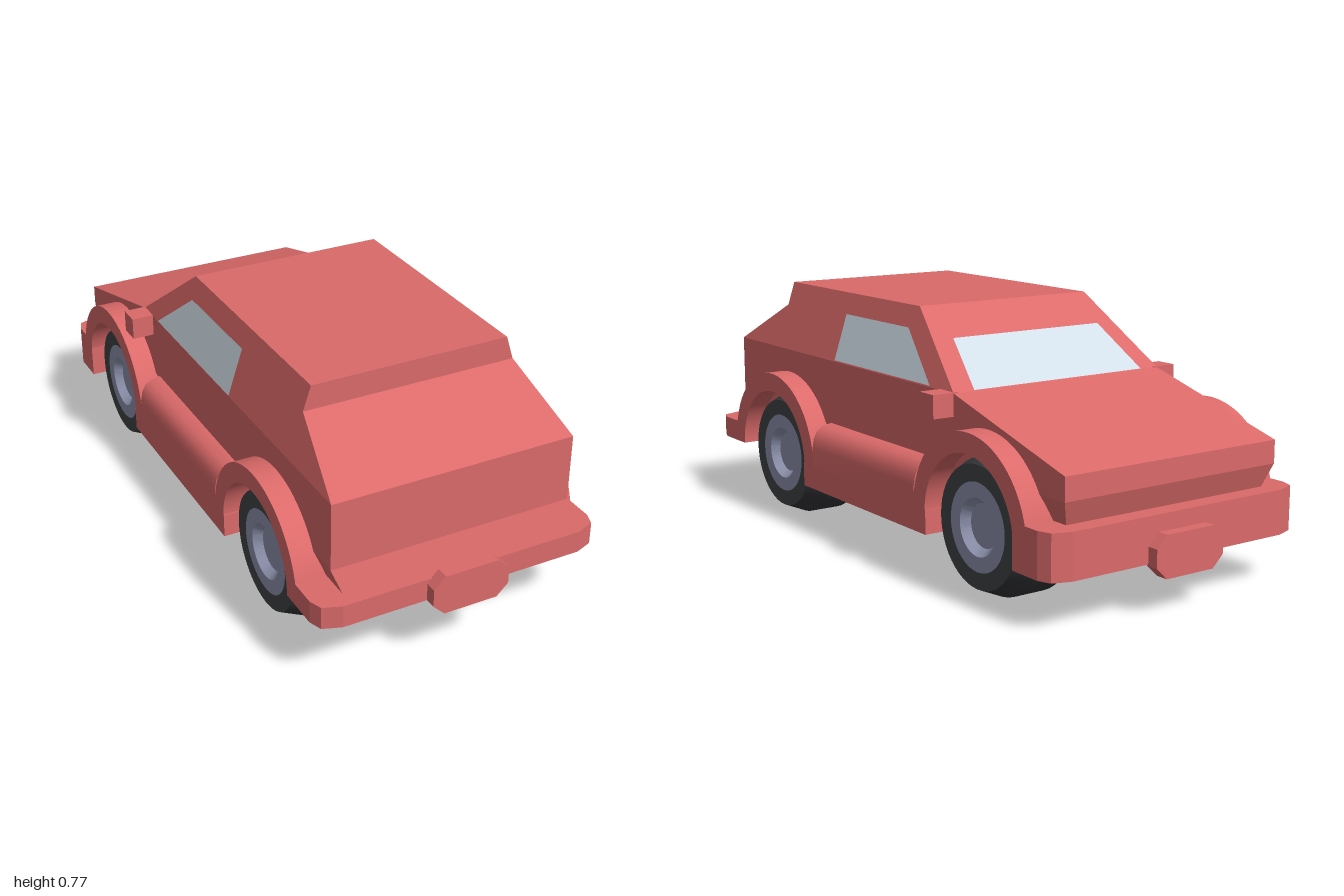
import * as THREE from 'three';
import { toCreasedNormals } from 'three/addons/utils/BufferGeometryUtils.js';

const mat = (name, color, side = THREE.FrontSide) => {
  const m = new THREE.MeshStandardMaterial({ color, side });
  m.name = name;
  return m;
};

const shapeOf = (pts) => new THREE.Shape(pts.map(([x, y]) => new THREE.Vector2(x, y)));
const extrude = (shape, depth, curveSegments = 24) =>
  new THREE.ExtrudeGeometry(shape, { depth, bevelEnabled: false, curveSegments });

// Mirror an outline of [x, y] points across x = 0
const symmetric = (pts) => [...pts, ...pts.map(([x, y]) => [-x, y]).reverse()];

// Half width of the shell at a given height
function halfWidth(y) {
  const steps = [[0.28, 0.36], [0.35, 0.385], [0.56, 0.385], [0.775, 0.315]];
  for (let i = 1; i < steps.length; i++) {
    const [y0, w0] = steps[i - 1], [y1, w1] = steps[i];
    if (y <= y1 + 1e-6) return w0 + ((w1 - w0) * (y - y0)) / (y1 - y0);
  }
  return 0.315;
}

// Side outline of [z, y] points spread across the width of the shell
function shellBand(pts) {
  const geo = extrude(shapeOf(pts.map(([z, y]) => [-z, y])), 1);
  geo.rotateY(Math.PI / 2);
  const p = geo.attributes.position;
  for (let i = 0; i < p.count; i++) p.setX(i, (p.getX(i) - 0.5) * 2 * halfWidth(p.getY(i)));
  return toCreasedNormals(geo, 0.05);
}

// Plan outline of [x, z] points raised from y0 to y1
function planBlock(pts, y0, y1) {
  const geo = extrude(shapeOf(pts.map(([x, z]) => [x, -z])), y1 - y0);
  geo.rotateX(-Math.PI / 2);
  geo.translate(0, y0, 0);
  return toCreasedNormals(geo, 0.3);
}

function quad(corners) {
  const geo = new THREE.BufferGeometry();
  geo.setAttribute('position', new THREE.Float32BufferAttribute(corners.flat(), 3));
  geo.setIndex([0, 1, 2, 0, 2, 3]);
  geo.computeVertexNormals();
  return geo;
}

export function createModel() {
  const car = new THREE.Group();
  car.name = 'car';
  const paint = mat('red paint', 0xdc6a6a);
  const glass = mat('pale glass', 0xd2dee8, THREE.DoubleSide);
  const tread = mat('dark tread', 0x35363a);
  const rubber = mat('grey sidewall', 0x434549);
  const metal = mat('rim metal', 0x9297b2);

  const add = (name, geo, material, parent = car) => {
    const mesh = new THREE.Mesh(geo, material);
    mesh.name = name;
    parent.add(mesh);
    return mesh;
  };

  // Shell in three bands: skirt, body and cabin
  add('lowerSkirt', shellBand([[0.915, 0.28], [0.893, 0.35], [-0.93, 0.35], [-0.906, 0.28]]), paint);
  add('body', shellBand([[0.893, 0.35], [0.893, 0.56], [-0.42, 0.56], [-0.93, 0.42], [-0.93, 0.35]]), paint);
  add('cabin', shellBand([[0.893, 0.56], [0.64, 0.7], [0.64, 0.775], [-0.14, 0.775], [-0.42, 0.56]]), paint);

  // Floor, narrow between the wheels and wide between the axles
  add('floor', planBlock(symmetric([[0.28, 0.765], [0.28, 0.345], [0.455, 0.345],
    [0.455, -0.375], [0.28, -0.375], [0.28, -0.9]]), 0.145, 0.22), paint);
  add('floorCore', planBlock(symmetric([[0.28, 0.765], [0.28, -0.9]]), 0.2, 0.3), paint);

  // Rounded side sills
  const sill = extrude(shapeOf(symmetric([[0.455, 0.147], [0.455, 0.28], [0.45, 0.31],
    [0.438, 0.333], [0.418, 0.348], [0.385, 0.355]])), 0.6);
  sill.translate(0, 0, -0.315);
  add('sills', toCreasedNormals(sill, 0.7), paint);

  // Bumpers with chamfered corners and octagonal plates
  const bumper = (end, inner) => symmetric([[0.455, end * inner], [0.455, end * 0.905],
    [0.44, end * 0.945], [0.385, end * 0.965]]);
  add('rearBumper', planBlock(bumper(1, 0.77), 0.21, 0.28), paint);
  add('frontBumper', planBlock(bumper(-1, 0.795), 0.145, 0.28), paint);
  const octagon = shapeOf(symmetric([[0.085, -0.0625], [0.122, -0.027], [0.122, 0.027], [0.085, 0.0625]]));
  for (const [name, y, z] of [['rearPlate', 0.238, 0.96], ['frontPlate', 0.168, -1]]) {
    add(name, extrude(octagon, 0.04), paint).position.set(0, y, z);
  }

  // Windows follow the slope of the cabin
  const lift = 0.004;
  const slopeY = (z) => 0.56 + ((z + 0.42) * 0.215) / 0.28;
  add('windshield', quad([[0.315, -0.42], [-0.315, -0.42], [-0.275, -0.255], [0.275, -0.255]]
    .map(([x, z]) => [x, slopeY(z) + lift * 0.8, z - lift * 0.6])), glass);
  for (const s of [1, -1]) {
    const corners = [[0.25, 0.565], [-0.3, 0.565], [-0.115, 0.71], [0.25, 0.71]]
      .map(([z, y]) => [s * (halfWidth(y) + lift), y, z]);
    add(s > 0 ? 'leftWindow' : 'rightWindow', quad(s > 0 ? corners : corners.reverse()), glass);

    // Door mirror
    add('mirror', new THREE.BoxGeometry(0.085, 0.07, 0.07), paint).position.set(s * 0.4125, 0.528, -0.385);
  }

  // Wheel profiles: radius against distance from the centre line
  const lathe = (pts) => toCreasedNormals(
    new THREE.LatheGeometry(pts.map(([r, h]) => new THREE.Vector2(r, h)), 48), 0.3);
  const treadGeo = lathe([[0, 0.18], [0.18, 0.18], [0.21, 0.245], [0.21, 0.35], [0.18, 0.42]]);
  const wallGeo = lathe([[0.18, 0.42], [0.13, 0.42]]);
  const rimGeo = lathe([[0.13, 0.42], [0.085, 0.42], [0.065, 0.395], [0, 0.395]]);

  // Half ring fender around each wheel
  const ring = new THREE.Shape();
  ring.absarc(0, 0, 0.275, 0, Math.PI, false);
  ring.absarc(0, 0, 0.214, Math.PI, 0, true);
  const archGeo = toCreasedNormals(extrude(ring, 0.175, 32).rotateY(Math.PI / 2), 0.4);

  for (const z of [0.555, -0.585]) {
    for (const s of [1, -1]) {
      const wheel = new THREE.Group();
      wheel.name = (z > 0 ? 'rear' : 'front') + (s > 0 ? 'Left' : 'Right') + 'Wheel';
      add('tread', treadGeo, tread, wheel);
      add('sidewall', wallGeo, rubber, wheel);
      add('rim', rimGeo, metal, wheel);
      wheel.rotation.z = (-s * Math.PI) / 2;
      wheel.position.set(0, 0.21, z);
      car.add(wheel);
      add('wheelArch', archGeo, paint).position.set(s > 0 ? 0.28 : -0.455, 0.21, z);
    }
  }
  return car;
}
